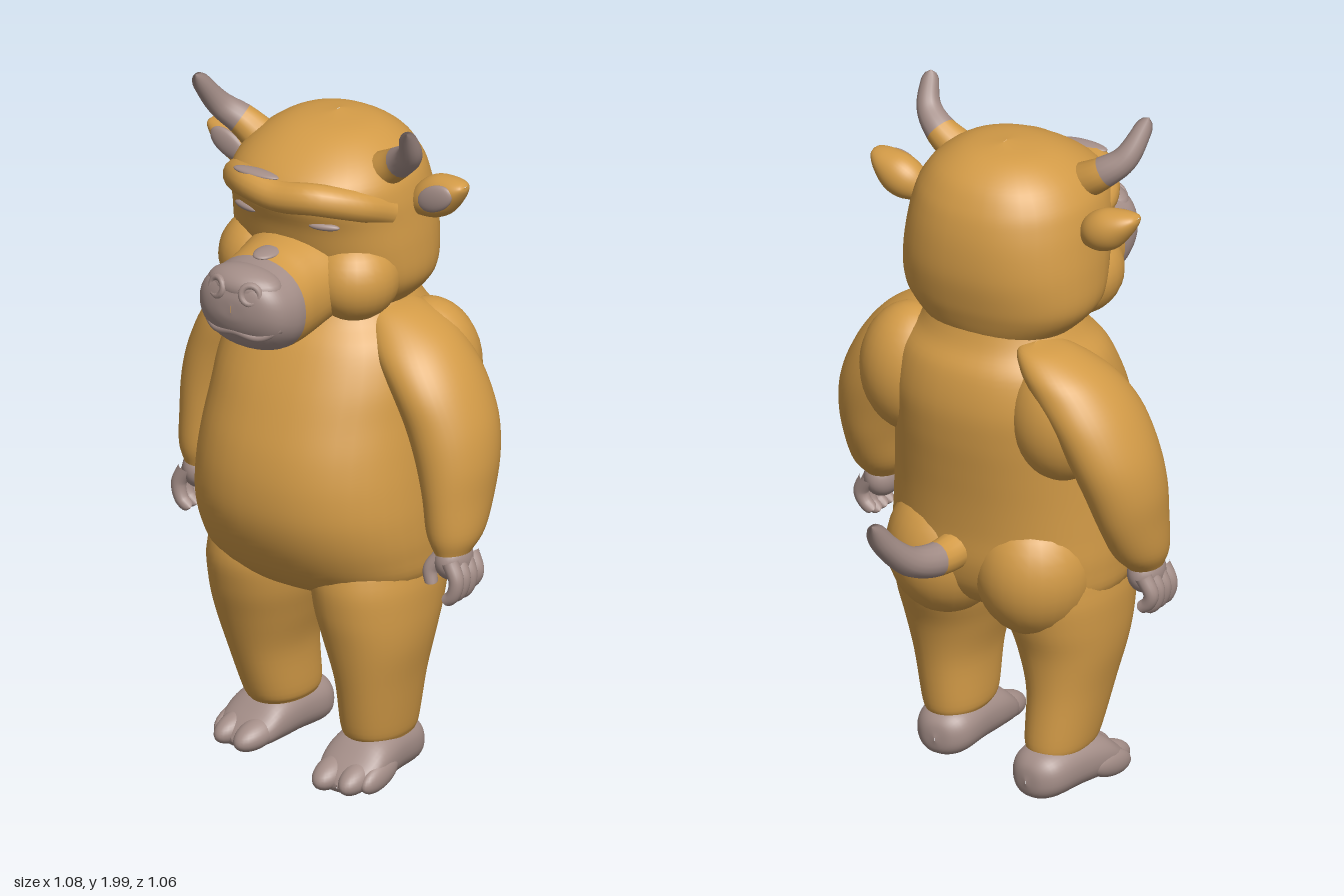
import * as THREE from 'three';

const hide = new THREE.MeshStandardMaterial({ color: 0xd39b47 });
hide.name = 'golden hide';
const horny = new THREE.MeshStandardMaterial({ color: 0xa48e88 });
horny.name = 'taupe skin';

// Smooth skin over elliptical sections [y, centre x, half width, z back, z front], listed upwards
function loft(rows, { power = 2, steps = 5, sides = 40 } = {}) {
  const V = THREE.Vector3;
  const centres = new THREE.CatmullRomCurve3(rows.map(r => new V(r[1], r[0], (r[3] + r[4]) / 2)), false, 'catmullrom');
  const radii = new THREE.CatmullRomCurve3(rows.map(r => new V(r[2], (r[4] - r[3]) / 2, 0)), false, 'catmullrom');
  const n = (rows.length - 1) * steps, pos = [], idx = [];
  const bend = v => Math.sign(v) * Math.pow(Math.abs(v), 2 / power);
  for (let i = 0; i <= n; i++) {
    const c = centres.getPoint(i / n), r = radii.getPoint(i / n);
    for (let j = 0; j < sides; j++) {
      const a = j / sides * Math.PI * 2;
      pos.push(c.x + Math.max(r.x, 0.001) * bend(Math.cos(a)), c.y, c.z + Math.max(r.y, 0.001) * bend(Math.sin(a)));
      if (i < n) {
        const k = (j + 1) % sides, p = i * sides;
        idx.push(p + j, p + sides + j, p + k, p + k, p + sides + j, p + sides + k);
      }
    }
  }
  const g = new THREE.BufferGeometry();
  g.setAttribute('position', new THREE.Float32BufferAttribute(pos, 3));
  g.setIndex(idx);
  g.computeVertexNormals();
  return g;
}

// Tube that narrows along its path and ends in a round tip
function taper(points, r0, r1) {
  const curve = new THREE.CatmullRomCurve3(points.map(p => new THREE.Vector3(...p)));
  const n = 32, sides = 16, g = new THREE.TubeGeometry(curve, n, 1, sides), p = g.attributes.position;
  const v = new THREE.Vector3();
  for (let i = 0; i <= n; i++) {
    const u = i / n, c = curve.getPointAt(u);
    const round = u > 0.88 ? Math.sqrt(Math.max(0, 1 - ((u - 0.88) / 0.12) ** 2)) : 1;
    for (let j = 0; j <= sides; j++) {
      const k = i * (sides + 1) + j;
      v.fromBufferAttribute(p, k).sub(c).multiplyScalar((r0 + (r1 - r0) * u) * round).add(c);
      p.setXYZ(k, v.x, v.y, v.z);
    }
  }
  return g;
}

// First part of the length in one colour, the rest in another
function split(g, share, segments) {
  const total = g.index.count, first = Math.round(share * segments) * (total / segments);
  g.addGroup(0, first, 0);
  g.addGroup(first, total - first, 1);
  return g;
}

export function createModel() {
  const model = new THREE.Group();
  model.name = 'standingBull';
  const add = (name, geo, mat, parent = model) => {
    const m = new THREE.Mesh(geo, mat);
    m.name = name;
    parent.add(m);
    return m;
  };
  const blob = (name, mat, c, s, parent) => {
    const m = add(name, new THREE.SphereGeometry(1, 28, 18), mat, parent);
    m.position.set(...c);
    m.scale.set(...s);
    return m;
  };

  // Body
  add('torso', loft([
    [0.52, 0, 0, 0, 0.06], [0.55, 0, 0.22, -0.12, 0.2], [0.61, 0, 0.328, -0.19, 0.29], [0.7, 0, 0.35, -0.22, 0.355],
    [0.8, 0, 0.352, -0.225, 0.393], [0.9, 0, 0.345, -0.235, 0.4], [1.0, 0, 0.335, -0.25, 0.385],
    [1.1, 0, 0.325, -0.265, 0.352], [1.2, 0, 0.318, -0.27, 0.31], [1.3, 0, 0.29, -0.25, 0.255],
    [1.37, 0, 0.235, -0.21, 0.2], [1.46, 0, 0.19, -0.18, 0.15],
  ], { power: 2.2 }), hide);

  // Head
  const head = new THREE.Group();
  head.name = 'head';
  model.add(head);
  add('skull', loft([
    [1.35, 0, 0.16, -0.16, 0.12], [1.4, 0, 0.22, -0.19, 0.17], [1.45, 0, 0.268, -0.21, 0.2], [1.5, 0, 0.288, -0.225, 0.225],
    [1.58, 0, 0.288, -0.24, 0.255], [1.66, 0, 0.28, -0.24, 0.278], [1.73, 0, 0.27, -0.23, 0.305],
    [1.79, 0, 0.25, -0.21, 0.295], [1.85, 0, 0.2, -0.17, 0.225], [1.895, 0, 0.12, -0.1, 0.13], [1.913, 0, 0, -0.01, 0.01],
  ], { power: 2.2 }), hide, head);
  add('brow', taper([[0.23, 1.7, 0.1], [0.195, 1.74, 0.2], [0.11, 1.765, 0.278], [0, 1.755, 0.293],
    [-0.11, 1.765, 0.278], [-0.195, 1.74, 0.2], [-0.23, 1.7, 0.1]], 0.045, 0.045), hide, head);
  blob('browPatch', horny, [-0.08, 1.802, 0.284], [0.075, 0.011, 0.024], head);

  // Muzzle, lofted forwards along z with y as the negative section axis
  const muzzle = loft([
    [0.08, 0, 0.18, -1.6, -1.38], [0.2, 0, 0.168, -1.63, -1.36], [0.3, 0, 0.153, -1.622, -1.335], [0.36, 0, 0.152, -1.608, -1.333],
    [0.42, 0, 0.152, -1.602, -1.345], [0.475, 0, 0.138, -1.6, -1.375], [0.51, 0, 0.105, -1.58, -1.42],
    [0.526, 0, 0.055, -1.54, -1.46], [0.53, 0, 0, -1.51, -1.49],
  ], { power: 2.15 });
  muzzle.rotateX(Math.PI / 2);
  add('muzzle', split(muzzle, 0.425, 40), [hide, horny], head);
  blob('noseBridge', horny, [0, 1.606, 0.345], [0.035, 0.012, 0.055], head);
  blob('nosePad', horny, [0, 1.555, 0.455], [0.115, 0.05, 0.07], head);
  add('lips', taper([[0.125, 1.45, 0.465], [0.07, 1.42, 0.494], [0, 1.428, 0.504], [-0.07, 1.42, 0.494],
    [-0.125, 1.45, 0.465]], 0.013, 0.013), horny, head);

  for (const s of [1, -1]) {
    const side = s > 0 ? 'left' : 'right';
    const mx = pts => pts.map(([x, y, z]) => [x * s, y, z]);
    const rowsFor = (rows, dz) => rows.map(([y, x, r, b, f]) => [y, x * s, r, b + dz(y), f + dz(y)]);

    // Face details
    blob(side + 'Cheek', hide, [s * 0.15, 1.5, 0.14], [0.125, 0.125, 0.135], head);
    const eye = blob(side + 'Eye', horny, [s * 0.13, 1.683, 0.262], [0.045, 0.011, 0.013], head);
    eye.rotation.y = s * 0.3;
    const nostril = add(side + 'Nostril', new THREE.TorusGeometry(0.026, 0.01, 10, 20), horny, head);
    nostril.position.set(s * 0.055, 1.55, 0.512);
    nostril.rotation.set(-0.2, s * 0.35, 0);

    // Horns
    const tip = s > 0 ? [0.338, 1.975, 0.165] : [0.35, 1.995, 0.185];
    add(side + 'Horn', split(taper(mx([[0.19, 1.8, 0.08], [0.26, 1.845, 0.085], [0.315, 1.89, 0.115], tip]),
      0.055, 0.022), 0.3, 32), [hide, horny], head);

    // Ears with a paler hollow
    const ear = new THREE.Group();
    ear.name = side + 'Ear';
    ear.position.set(s * 0.255, 1.69, 0);
    ear.rotation.z = -s * 1.08;
    head.add(ear);
    add('earShell', loft([[0, 0, 0.03, -0.03, 0.03], [0.05, 0, 0.055, -0.06, 0.045], [0.1, 0, 0.058, -0.065, 0.047],
      [0.15, 0, 0.038, -0.05, 0.042], [0.183, 0, 0.016, -0.025, 0.028], [0.192, 0, 0, 0, 0.01]]), hide, ear);
    blob('earHollow', horny, [0, 0.1, 0.036], [0.037, 0.062, 0.016], ear);

    // Arms: the left one swings slightly forward, the right one back
    const dzArm = s > 0 ? 0 : -0.14;
    add(side + 'Arm', loft(rowsFor([
      [0.74, 0.462, 0.045, 0.065, 0.18], [0.8, 0.458, 0.074, 0.005, 0.197], [0.9, 0.45, 0.088, -0.05, 0.2],
      [1.0, 0.435, 0.105, -0.085, 0.2], [1.1, 0.405, 0.117, -0.11, 0.2], [1.2, 0.357, 0.122, -0.12, 0.2],
      [1.28, 0.3, 0.125, -0.115, 0.18], [1.34, 0.25, 0.11, -0.1, 0.14], [1.385, 0.2, 0.07, -0.06, 0.09], [1.4, 0.18, 0, 0, 0.03],
    ], () => dzArm)), hide);
    blob(side + 'Shoulder', hide, [s * 0.255, 1.19, s > 0 ? -0.07 : -0.12], [0.15, 0.19, 0.14]);
    const hand = new THREE.Group();
    hand.name = side + 'Hand';
    hand.position.z = dzArm;
    model.add(hand);
    blob('palm', horny, [s * 0.465, 0.722, 0.122], [0.05, 0.06, 0.066], hand);
    for (let i = 0; i < 4; i++) {
      const z = 0.07 + i * 0.033, drop = i === 0 ? 0.015 : 0;
      add('finger', taper(mx([[0.485, 0.73, z], [0.508, 0.68, z + 0.004], [0.497, 0.635 + drop, z + 0.006],
        [0.468, 0.612 + drop, z + 0.006]]), 0.024, 0.018), horny, hand);
    }
    add('thumb', taper(mx([[0.445, 0.735, 0.15], [0.418, 0.695, 0.165], [0.424, 0.65, 0.17]]), 0.026, 0.018), horny, hand);

    // Legs: the right one stands further back
    const back = s > 0 ? 0 : -0.1;
    add(side + 'Leg', loft(rowsFor([
      [0.125, 0.187, 0.08, -0.05, 0.185], [0.16, 0.187, 0.092, -0.06, 0.205], [0.3, 0.195, 0.108, -0.075, 0.235],
      [0.42, 0.19, 0.138, -0.105, 0.26], [0.52, 0.179, 0.158, -0.15, 0.278], [0.62, 0.172, 0.163, -0.18, 0.28],
      [0.7, 0.165, 0.14, -0.16, 0.24], [0.77, 0.16, 0, 0, 0.06],
    ], y => back * Math.max(0, 1 - y / 0.6)), { power: 2.15 }), hide);
    blob(side + 'Buttock', hide, [s * 0.14, 0.68, -0.07], [0.17, 0.2, 0.178]);

    // Feet sloping down to blunt toes
    const foot = new THREE.Group();
    foot.name = side + 'Foot';
    foot.position.set(s * 0.183, 0, back);
    foot.rotation.y = s > 0 ? 0.02 : -0.16;
    model.add(foot);
    const sole = loft([[-0.078, 0, 0, -0.07, -0.06], [-0.065, 0, 0.05, -0.115, -0.02], [-0.02, 0, 0.084, -0.145, -0.004],
      [0.08, 0, 0.093, -0.158, -0.004], [0.17, 0, 0.099, -0.143, -0.002], [0.23, 0, 0.092, -0.1, -0.004],
      [0.275, 0, 0.06, -0.06, -0.008], [0.29, 0, 0, -0.035, -0.025]], { power: 2.3 });
    sole.rotateX(Math.PI / 2);
    add('sole', sole, horny, foot);
    for (const [x, z, w] of [[-0.045, 0.235, 0.046], [0.035, 0.23, 0.042], [0.077, 0.19, 0.03]]) {
      const toe = blob('toe', horny, [x * s, 0.05, z], [w, 0.04, 0.085], foot);
      toe.rotation.x = 0.22;
    }
  }

  // Tail, raised and swept to one side
  add('tail', split(taper([[0.03, 0.745, -0.16], [0.05, 0.735, -0.27], [0.075, 0.765, -0.38], [0.1, 0.845, -0.47],
    [0.115, 0.92, -0.52]], 0.056, 0.03), 0.28, 32), [hide, horny]);

  return model;
}
